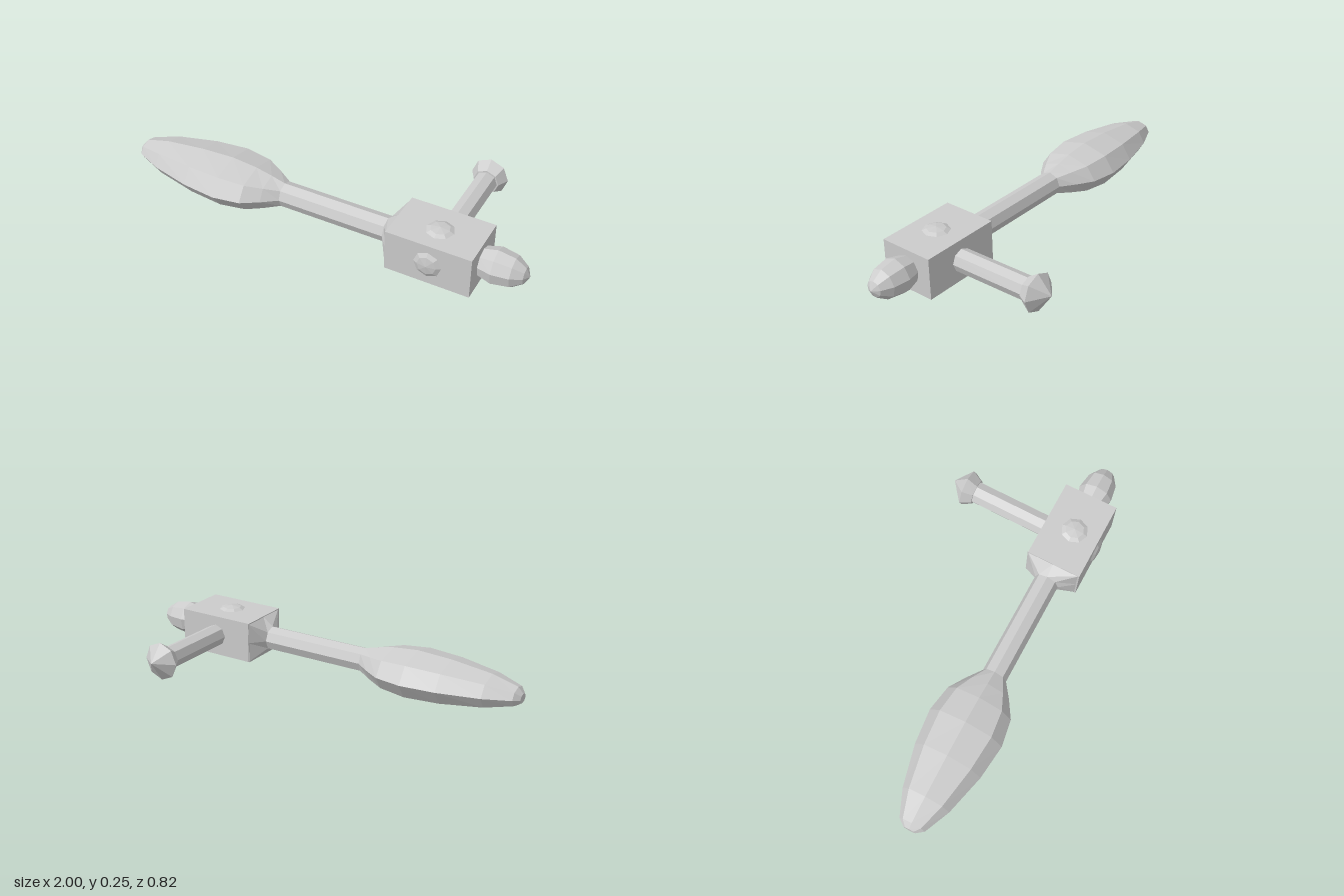
import * as THREE from 'three';

const material = new THREE.MeshStandardMaterial({ color: 0xcccccc, flatShading: true });

// Faceted loft along local +x. Each ring: [x, radiusY, radiusZ, offsetY = 0, squared = false]
function loft(rings, sides = 8) {
  const pos = [], index = [];
  for (const [x, ry, rz, oy = 0, squared = false] of rings) {
    for (let j = 0; j < sides; j++) {
      const a = (j / sides) * Math.PI * 2;
      const c = Math.cos(a), s = Math.sin(a);
      const k = squared ? 1 / Math.max(Math.abs(c), Math.abs(s)) : 1;
      pos.push(x, c * ry * k + oy, s * rz * k);
    }
  }
  for (let i = 0; i < rings.length - 1; i++) {
    for (let j = 0; j < sides; j++) {
      const n = (j + 1) % sides;
      const a = i * sides + j, b = i * sides + n;
      const c = a + sides, d = b + sides;
      if (rings[i][1] > 0) index.push(a, b, d);
      if (rings[i + 1][1] > 0) index.push(a, d, c);
      else if (rings[i][1] > 0) index[index.length - 1] = c;
    }
  }
  const g = new THREE.BufferGeometry();
  g.setAttribute('position', new THREE.Float32BufferAttribute(pos, 3));
  g.setIndex(index);
  const flat = g.toNonIndexed();
  flat.computeVertexNormals();
  return flat;
}

export function createModel() {
  const model = new THREE.Group();
  const add = (name, geometry, position, rotation = [0, 0, 0]) => {
    const mesh = new THREE.Mesh(geometry, material);
    mesh.name = name;
    mesh.position.set(...position);
    mesh.rotation.set(...rotation);
    model.add(mesh);
  };
  const Q = Math.PI / 2;

  // Swollen grip, slim shaft and the collar that squares off into the block
  add('gripAndShaft', loft([
    [-1, 0, 0, -0.005],
    [-1, 0.022, 0.03, -0.005],
    [-0.975, 0.045, 0.064],
    [-0.85, 0.078, 0.118],
    [-0.65, 0.102, 0.167],
    [-0.48, 0.11, 0.185],
    [-0.35, 0.097, 0.163],
    [-0.27, 0.079, 0.112],
    [-0.2, 0.06, 0.06],
    [0.33, 0.06, 0.06],
    [0.385, 0.1, 0.134, 0.003, true],
  ]), [0, 0.124, 0.222]);

  // Central block
  const block = new THREE.BoxGeometry(0.403, 0.204, 0.268);
  add('block', block, [0.5835, 0.127, 0.225]);

  // Rounded end knob
  add('endKnob', loft([
    [0.78, 0.067, 0.067],
    [0.85, 0.086, 0.086],
    [0.93, 0.073, 0.073],
    [0.98, 0.04, 0.04],
    [1, 0, 0],
  ], 9), [0, 0.129, 0.225]);

  // Side arm with a flared, pointed head
  add('sideArm', loft([
    [-0.02, 0.055, 0.055],
    [0.38, 0.055, 0.055, 0.006],
    [0.38, 0.062, 0.062, 0.006],
    [0.43, 0.094, 0.09, 0.008],
    [0.502, 0, 0, 0.02],
  ]), [0.585, 0.129, 0.09], [0, Q, 0]);

  // Low studs on the front, top and underside of the block
  const stud = (height) => loft([
    [-0.005, 0.075, 0.075],
    [height * 0.6, 0.045, 0.045],
    [height, 0, 0],
  ]);
  add('frontStud', stud(0.018), [0.585, 0.127, 0.359], [0, -Q, 0]);
  add('topStud', stud(0.016), [0.585, 0.229, 0.235], [0, 0, Q]);
  add('bottomStud', stud(0.025), [0.585, 0.025, 0.215], [0, 0, -Q]);

  return model;
}
